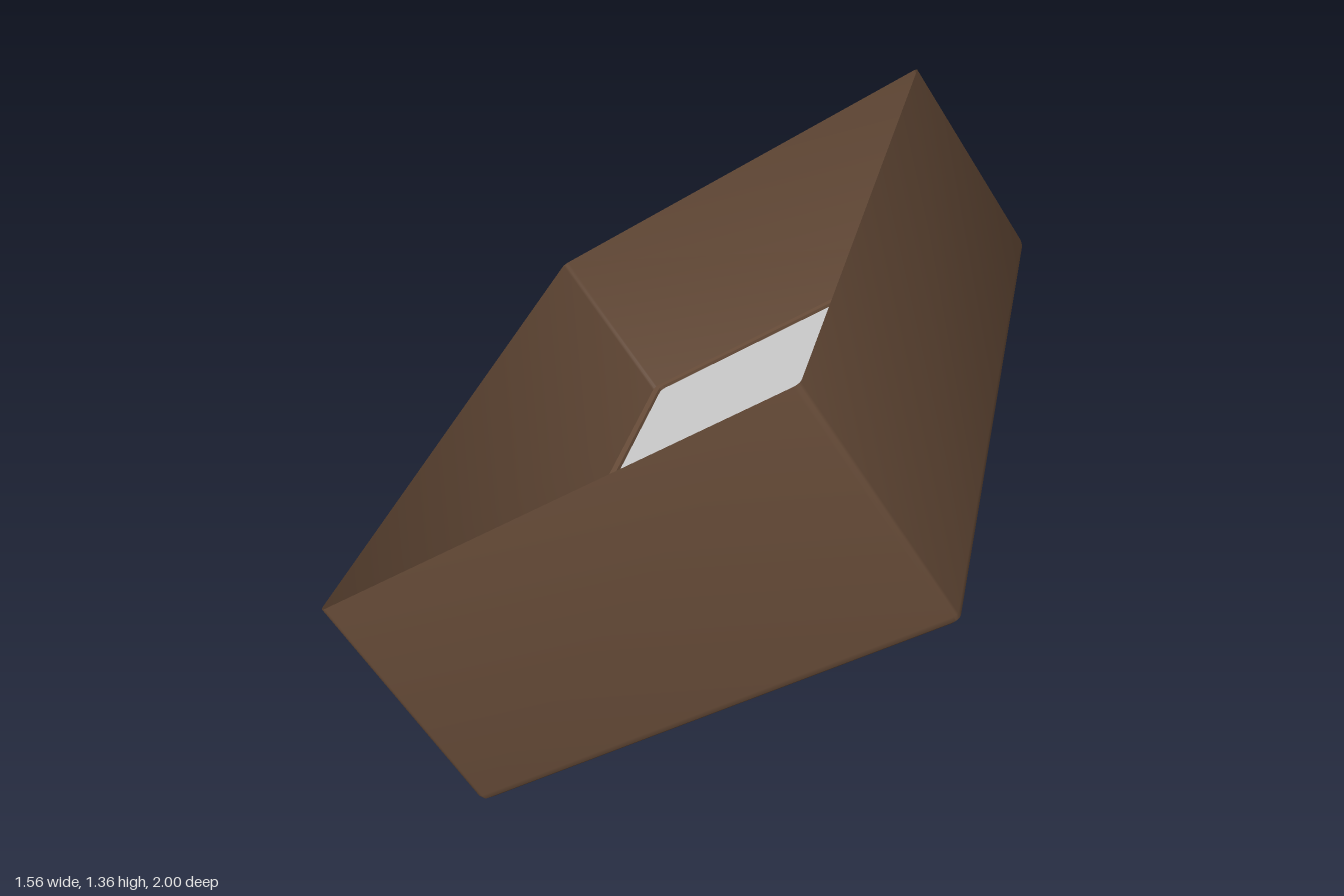
import * as THREE from 'three';
import { toCreasedNormals } from 'three/addons/utils/BufferGeometryUtils.js';

const wood = new THREE.MeshStandardMaterial({ color: 0x6a4e3a, side: THREE.DoubleSide });
const grey = new THREE.MeshStandardMaterial({ color: 0xcccccc, side: THREE.DoubleSide });

// Points of a rounded rectangle lying flat at height y
function ring(halfX, halfZ, y, radius = 0.018, steps = 4) {
  const points = [];
  const signs = [[1, -1], [-1, -1], [-1, 1], [1, 1]];
  signs.forEach(([sx, sz], corner) => {
    for (let i = 0; i <= steps; i++) {
      const a = (corner + i / steps) * Math.PI / 2;
      points.push([
        sx * (halfX - radius) + radius * Math.cos(a), y,
        sz * (halfZ - radius) - radius * Math.sin(a),
      ]);
    }
  });
  return points;
}

// Skin through successive rings
function loft(rings) {
  const n = rings[0].length;
  const index = [];
  for (let r = 0; r < rings.length - 1; r++) {
    for (let j = 0; j < n; j++) {
      const k = (j + 1) % n;
      const a = r * n + j, b = r * n + k, c = a + n, d = b + n;
      index.push(a, c, b, b, c, d);
    }
  }
  const geometry = new THREE.BufferGeometry();
  geometry.setAttribute('position', new THREE.Float32BufferAttribute(rings.flat(2), 3));
  geometry.setIndex(index);
  return toCreasedNormals(geometry, 0.7);
}

export function createModel() {
  const model = new THREE.Group();
  model.name = 'tiltedTray';

  const tray = new THREE.Group();
  tray.name = 'tray';
  tray.rotation.z = Math.atan2(0.8, 1.18);
  tray.position.y = 0.68;
  model.add(tray);

  const add = (name, geometry, material) => {
    const mesh = new THREE.Mesh(geometry, material);
    mesh.name = name;
    tray.add(mesh);
    return mesh;
  };

  // Thin walls, rounded hollow bottom rim, return up to the panel and its lip
  const profile = [
    [0.715, 1, 0.34], [0.715, 1, -0.315], [0.711, 0.996, -0.33], [0.697, 0.982, -0.34],
    [0.675, 0.93, -0.34], [0.661, 0.916, -0.334], [0.655, 0.91, -0.32],
    [0.655, 0.91, -0.18], [0.625, 0.88, -0.18], [0.625, 0.88, -0.205], [0.655, 0.91, -0.205],
  ];
  add('walls and rim', loft(profile.map(([x, z, y]) => ring(x, z, y))), wood);

  // Panel held by the lip
  const panel = add('panel', new THREE.PlaneGeometry(1.26, 1.77), grey);
  panel.rotation.x = -Math.PI / 2;
  panel.position.y = -0.19;

  // Round bars across the underside, their ends inside the rim
  for (let i = -2; i <= 2; i++) {
    const bar = add('bar', new THREE.CylinderGeometry(0.031, 0.031, 1.95, 16), wood);
    bar.rotation.x = Math.PI / 2;
    bar.position.set(i * 0.2415, -0.308, 0);
  }

  return model;
}
